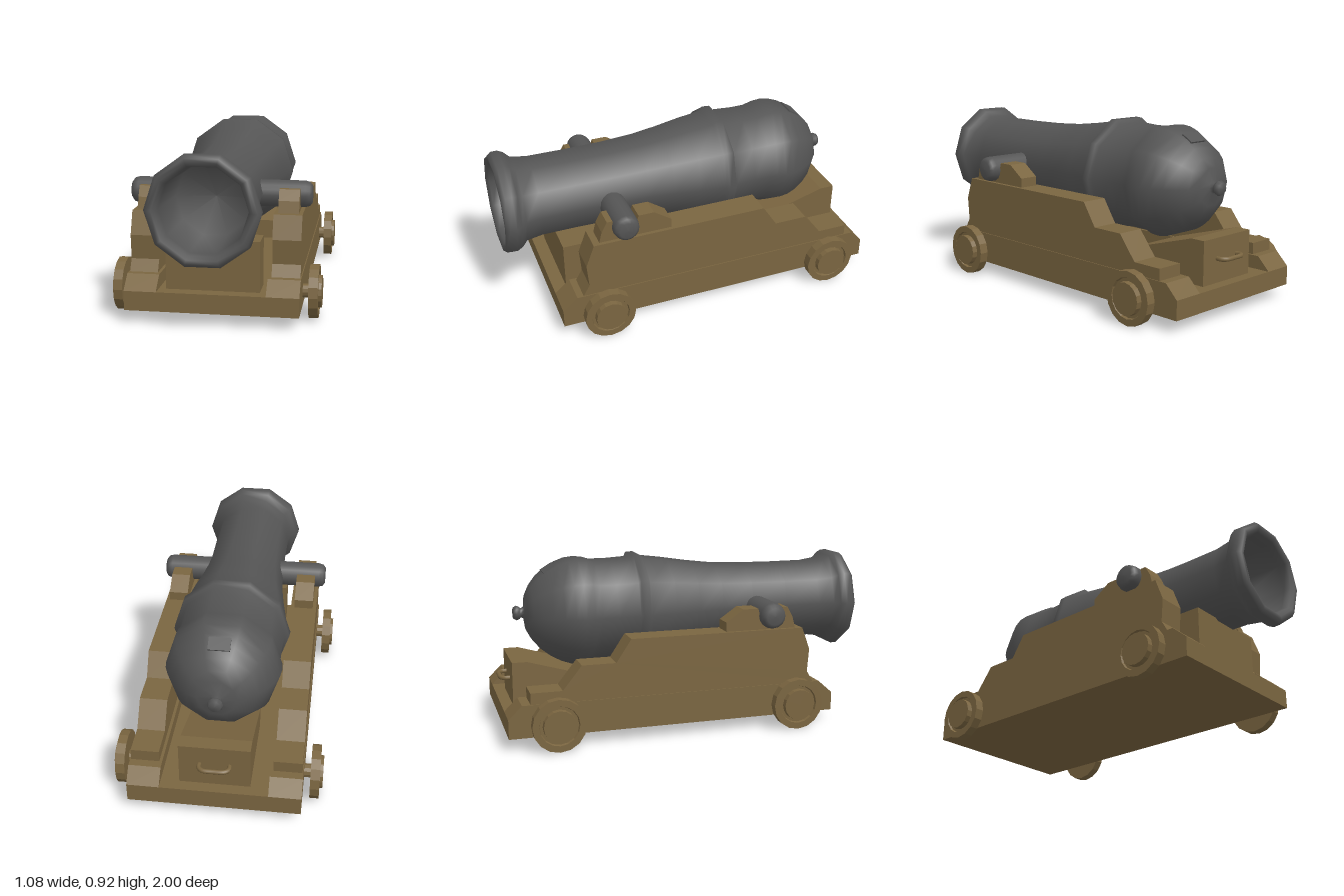
import * as THREE from 'three';

const wood = new THREE.MeshStandardMaterial({ color: 0x7a6540, flatShading: true });
const woodSmooth = new THREE.MeshStandardMaterial({ color: 0x7a6540 });
const iron = new THREE.MeshStandardMaterial({ color: 0x555555 });

function add(parent, name, geometry, material) {
  const mesh = new THREE.Mesh(geometry, material);
  mesh.name = name;
  parent.add(mesh);
  return mesh;
}

// Side outline in (z, y) extruded between two x positions
function slab(outline, x0, x1) {
  const shape = new THREE.Shape(outline.map(([z, y]) => new THREE.Vector2(z, y)));
  return new THREE.ExtrudeGeometry(shape, { depth: x1 - x0, bevelEnabled: false })
    .rotateY(-Math.PI / 2).translate(x1, 0, 0);
}

// Profile of [radius, position along axis]
function lathe(profile, segments, start = 0) {
  return new THREE.LatheGeometry(profile.map(([r, a]) => new THREE.Vector2(r, a)), segments, start);
}

function createBarrel() {
  const group = new THREE.Group();
  group.name = 'barrel';
  const axisY = 0.625;

  // Ten-sided tube: rear knob, breech, reinforcing ring, muzzle flare, then the bore
  const profile = [
    [0, -0.905], [0.03, -0.902], [0.04, -0.885], [0.034, -0.87], [0.025, -0.86], [0.033, -0.845],
    [0.1, -0.835], [0.15, -0.81], [0.2, -0.77], [0.24, -0.72], [0.272, -0.665], [0.292, -0.61],
    [0.298, -0.56], [0.294, -0.51], [0.281, -0.47], [0.28, -0.38], [0.287, -0.265],
    [0.31, -0.255], [0.313, -0.215], [0.293, -0.2],
    [0.275, -0.06], [0.252, 0.08], [0.234, 0.22], [0.224, 0.4], [0.221, 0.6], [0.222, 0.8],
    [0.235, 0.885], [0.265, 0.915], [0.28, 0.945], [0.279, 0.98], [0.262, 1], [0.24, 1],
    [0.222, 0.985], [0.215, 0.95], [0.2, 0.62], [0, 0.58],
  ];
  const tube = lathe(profile, 10, Math.PI / 2).rotateX(Math.PI / 2).translate(0, axisY, 0);
  add(group, 'tube', tube, iron);

  // Plate around the touch hole
  const vent = add(group, 'ventPlate', new THREE.BoxGeometry(0.11, 0.03, 0.07), iron);
  vent.position.set(0, 0.852, -0.705);
  vent.rotation.x = -0.55;

  // Trunnions with rounded ends
  for (const side of [1, -1]) {
    const pin = lathe([[0.07, 0.16], [0.07, 0.435], [0.063, 0.46], [0.045, 0.473], [0, 0.475]], 16);
    const mesh = add(group, side > 0 ? 'leftTrunnion' : 'rightTrunnion', pin, iron);
    mesh.rotation.z = -side * Math.PI / 2;
    mesh.position.set(0, 0.616, 0.42);
  }
  return group;
}

function createCarriage() {
  const group = new THREE.Group();
  group.name = 'carriage';

  // Bed plank
  add(group, 'bed', new THREE.BoxGeometry(0.88, 0.1, 1.78).translate(0, 0.115, -0.11), wood);

  const sill = [[0.78, 0.165], [0.7, 0.235], [-0.93, 0.235], [-1, 0.165]];
  const cheek = [
    [0.665, 0.235], [0.63, 0.295], [0.64, 0.42], [0.595, 0.54], [-0.36, 0.54], [-0.44, 0.42],
    [-0.62, 0.42], [-0.72, 0.295], [-0.885, 0.295], [-0.885, 0.235],
  ];
  const saddle = [
    [0.56, 0.54], [0.545, 0.6], [0.515, 0.655], [0.485, 0.655], [0.47, 0.57], [0.37, 0.57],
    [0.345, 0.655], [0.26, 0.655], [0.165, 0.59], [0.165, 0.54],
  ];
  const sideParts = [
    ['Sill', sill, 0.275, 0.44], ['Cheek', cheek, 0.29, 0.435], ['TrunnionSaddle', saddle, 0.31, 0.415],
  ];
  for (const [name, outline, x0, x1] of sideParts) {
    add(group, 'left' + name, slab(outline, x0, x1), wood);
    add(group, 'right' + name, slab(outline, -x1, -x0), wood);
  }

  // Cross blocks under the muzzle end and the breech
  add(group, 'frontBlock', new THREE.BoxGeometry(0.476, 0.26, 0.15).translate(0, 0.295, 0.635), wood);
  const rear = [[-0.94, 0.165], [-0.94, 0.395], [-0.86, 0.395], [-0.45, 0.275], [-0.45, 0.165]];
  add(group, 'rearBlock', slab(rear, -0.18, 0.18), wood);

  // Rear pull handle
  const path = new THREE.CatmullRomCurve3([
    [-0.075, -0.93], [-0.075, -0.965], [-0.055, -0.985], [0, -0.988],
    [0.055, -0.985], [0.075, -0.965], [0.075, -0.93],
  ].map(([x, z]) => new THREE.Vector3(x, 0.29, z)));
  add(group, 'handle', new THREE.TubeGeometry(path, 24, 0.012, 8), woodSmooth);
  return group;
}

// Wheel turned about x, with a groove between rim and hub, and its axle stub
function createWheel(name) {
  const wheel = new THREE.Group();
  wheel.name = name;
  const disc = lathe([
    [0, 0.475], [0.138, 0.475], [0.138, 0.523], [0.104, 0.523], [0.1, 0.51],
    [0.085, 0.51], [0.083, 0.538], [0, 0.538],
  ], 16).rotateZ(-Math.PI / 2);
  add(wheel, 'disc', disc, wood);
  const axle = new THREE.CylinderGeometry(0.036, 0.036, 0.1, 12).rotateZ(Math.PI / 2).translate(0.44, 0, 0);
  add(wheel, 'axle', axle, wood);
  return wheel;
}

export function createModel() {
  const model = new THREE.Group();
  model.name = 'cannon';
  model.add(createBarrel(), createCarriage());
  for (const [end, z] of [['front', 0.545], ['rear', -0.755]]) {
    for (const side of ['Left', 'Right']) {
      const wheel = createWheel(end + side + 'Wheel');
      wheel.position.set(0, 0.138, z);
      if (side === 'Right') wheel.rotation.y = Math.PI;
      model.add(wheel);
    }
  }
  return model;
}
